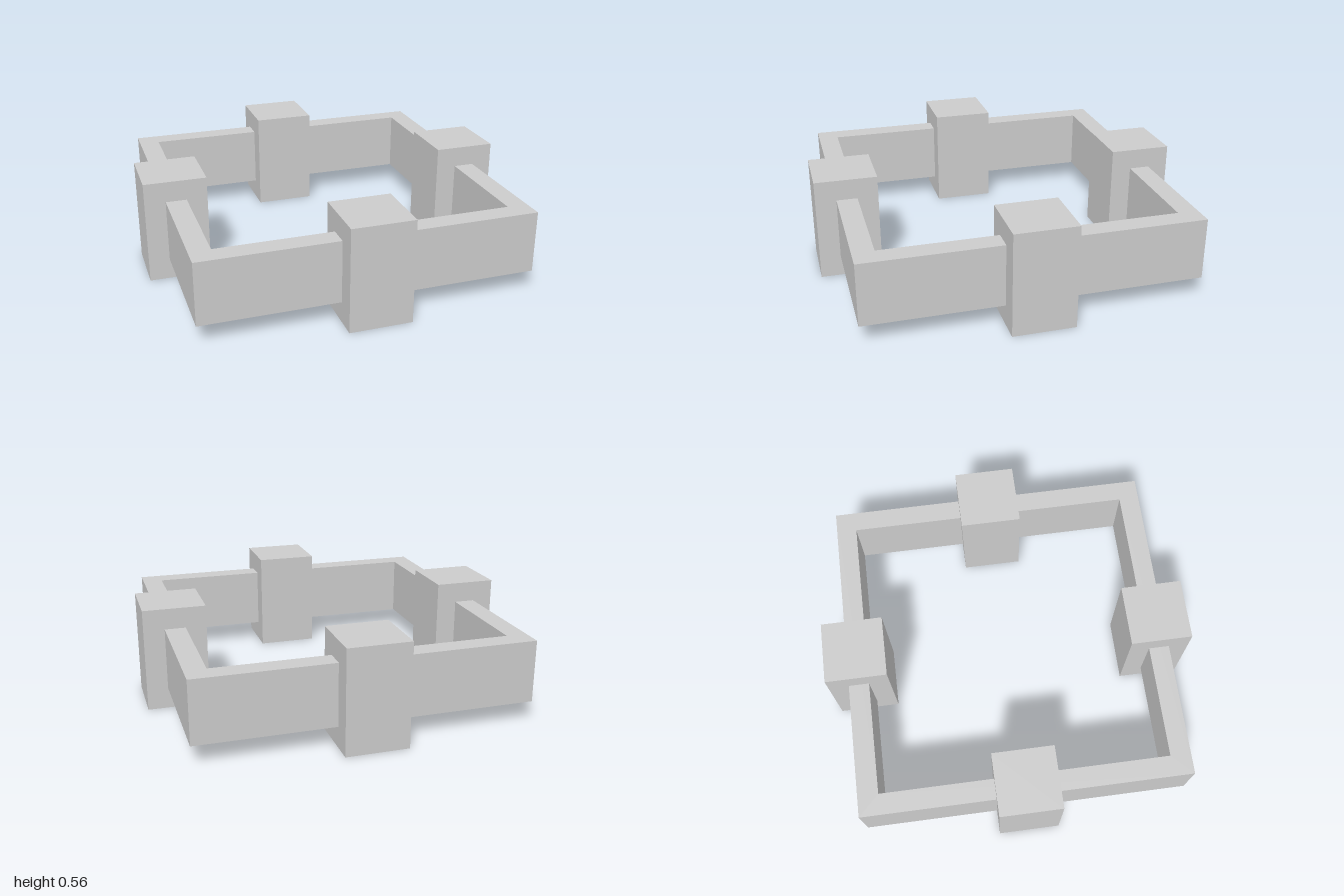
import * as THREE from 'three';

const U = 1 / 9; // one wall thickness
const material = new THREE.MeshStandardMaterial({ color: 0xcccccc, flatShading: true });

const squarePoints = (h) => [[-h, -h], [h, -h], [h, h], [-h, h]].map(([x, y]) => new THREE.Vector2(x, y));

export function createModel() {
  const model = new THREE.Group();
  model.name = 'squareWallRing';

  // Square ring of wall, raised one unit above the ground
  const outline = new THREE.Shape(squarePoints(8 * U));
  outline.holes.push(new THREE.Path(squarePoints(7 * U).reverse()));
  const wallGeometry = new THREE.ExtrudeGeometry(outline, { depth: 3 * U, bevelEnabled: false });
  wallGeometry.rotateX(-Math.PI / 2);
  const wall = new THREE.Mesh(wallGeometry, material);
  wall.name = 'wallRing';
  wall.position.y = U;
  model.add(wall);

  // A taller block straddling the middle of each side
  const blockGeometry = new THREE.BoxGeometry(3 * U, 5 * U, 3 * U);
  const sides = { front: [0, 1], back: [0, -1], left: [1, 0], right: [-1, 0] };
  for (const [side, [x, z]] of Object.entries(sides)) {
    const block = new THREE.Mesh(blockGeometry, material);
    block.name = `${side}Block`;
    block.position.set(x * 7.5 * U, 2.5 * U, z * 7.5 * U);
    model.add(block);
  }

  return model;
}
